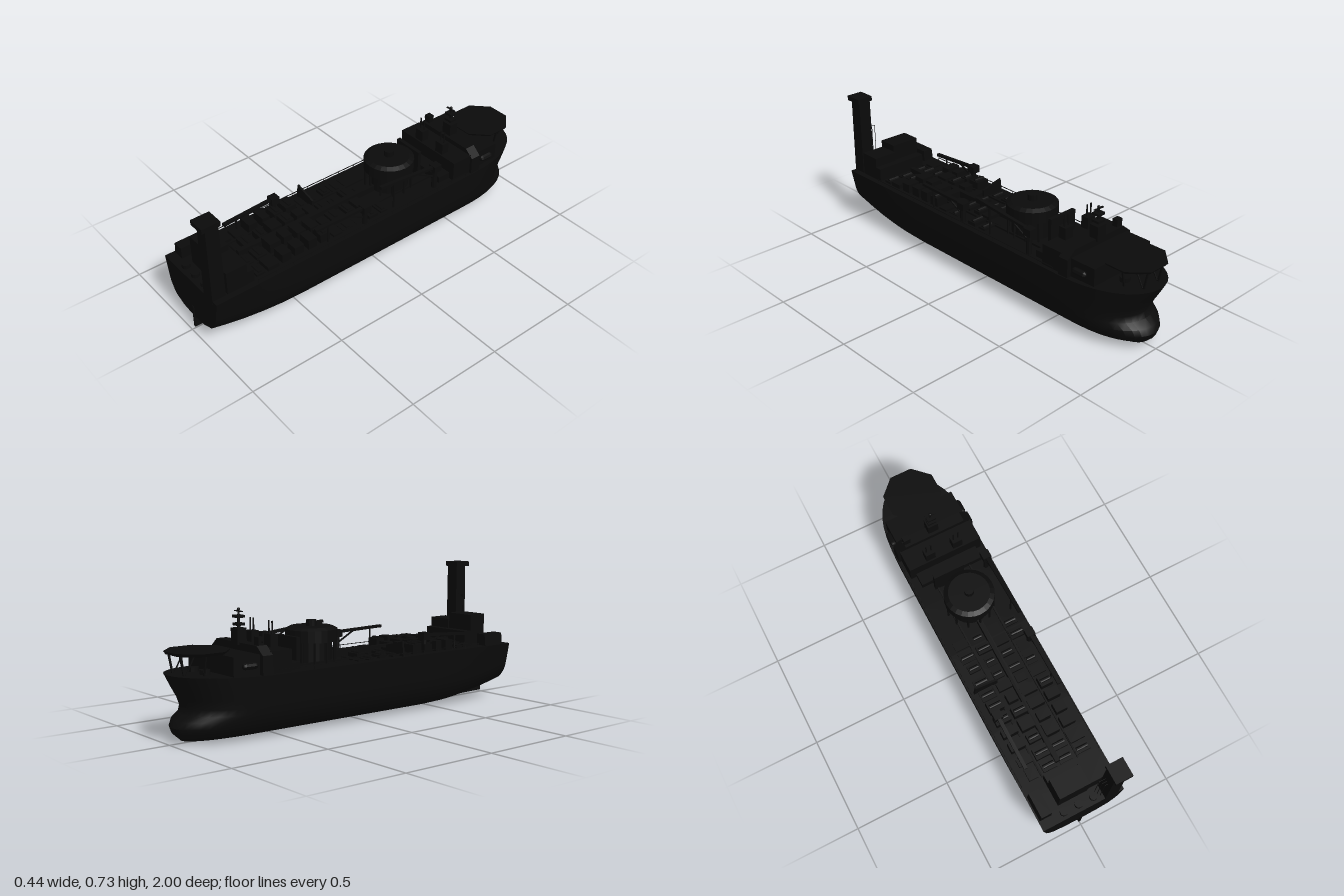
import * as THREE from 'three';
import { toCreasedNormals } from 'three/addons/utils/BufferGeometryUtils.js';

const dark = new THREE.MeshStandardMaterial({ color: 0x0b0b0b, side: THREE.DoubleSide });
const flat = new THREE.MeshStandardMaterial({ color: 0x0b0b0b, flatShading: true });

function add(parent, name, geo, x = 0, y = 0, z = 0, mat = flat) {
  const m = new THREE.Mesh(geo, mat);
  m.name = name;
  m.position.set(x, y, z);
  parent.add(m);
  return m;
}
// box given by its extents
function box(parent, name, x0, x1, y0, y1, z0, z1) {
  return add(parent, name, new THREE.BoxGeometry(x1 - x0, y1 - y0, z1 - z0),
    (x0 + x1) / 2, (y0 + y1) / 2, (z0 + z1) / 2);
}
function post(parent, name, x, y0, y1, z, r, r2 = r, sides = 8) {
  return add(parent, name, new THREE.CylinderGeometry(r2, r, y1 - y0, sides), x, (y0 + y1) / 2, z);
}
// square bar between two points
function beam(parent, name, a, b, w, h = w) {
  const p = new THREE.Vector3(...a), q = new THREE.Vector3(...b);
  const m = add(parent, name, new THREE.BoxGeometry(w, h, p.distanceTo(q)));
  m.position.copy(p).lerp(q, 0.5);
  m.lookAt(q);
  return m;
}
// outline in x,y pushed along z
function prism(parent, name, pts, z0, z1) {
  const s = new THREE.Shape(pts.map(p => new THREE.Vector2(...p)));
  return add(parent, name, new THREE.ExtrudeGeometry(s, { depth: z1 - z0, bevelEnabled: false }), 0, 0, z0);
}

// Hull lofted from transom to raked stem with a bulb: [height, half width, stem z]
function hullGeometry() {
  const levels = [[0.30, 0.22, -1], [0.25, 0.216, -0.965], [0.20, 0.211, -0.935], [0.16, 0.207, -0.92],
    [0.13, 0.203, -0.93], [0.105, 0.196, -0.97], [0.075, 0.183, -0.985], [0.045, 0.163, -0.975],
    [0.012, 0.095, -0.94], [0, 0, -0.88]];
  const body = [0.98, 0.9, 0.8, 0.7, 0.6, 0.45, 0, -0.3];
  const bow = [0, 0.2, 0.35, 0.5, 0.62, 0.72, 0.82, 0.9, 0.95, 0.985, 1];
  const ring = [...levels.map(l => [...l, 1]), ...levels.slice(0, -1).reverse().map(l => [...l, -1])];
  const pos = [], idx = [], n = ring.length;
  for (const z of body) {
    const u = Math.max(0, (z - 0.45) / 0.53) ** 2;
    for (const [y, w, , side] of ring) {
      const low = 1 - y / 0.3;
      pos.push(side * w * (1 - 0.08 * u * low), y + 0.075 * u * low, z);
    }
  }
  for (const t of bow) {
    const f = Math.sqrt(Math.max(0, 1 - t ** 2.5));
    for (const [y, w, stem, side] of ring)
      pos.push(side * w * f, y + (y === 0.3 ? 0.014 * t : 0), THREE.MathUtils.lerp(-0.6, stem, t));
  }
  const rows = body.length + bow.length;
  for (let s = 0; s < rows - 1; s++) for (let r = 0; r < n; r++) {
    const a = s * n + r, b = s * n + (r + 1) % n;
    idx.push(a, b, a + n, b, b + n, a + n);
  }
  for (let r = 1; r < n - 1; r++) idx.push(0, r + 1, r);
  const g = new THREE.BufferGeometry();
  g.setAttribute('position', new THREE.Float32BufferAttribute(pos, 3));
  g.setIndex(idx);
  return toCreasedNormals(g, 0.7);
}

// Pedestal crane with its boom lying along +z
function crane(parent, name, x, z, top, tipY, tipZ) {
  const g = new THREE.Group();
  g.name = name;
  parent.add(g);
  post(g, 'cranePedestal', x, 0.29, top - 0.01, z, 0.014);
  box(g, 'craneCab', x - 0.022, x + 0.022, top - 0.025, top + 0.012, z - 0.025, z + 0.02);
  beam(g, 'craneBoom', [x, top, z], [x, tipY, tipZ], 0.018, 0.014);
  beam(g, 'craneRam', [x, top - 0.06, z], [x, (top + tipY) / 2, z + (tipZ - z) * 0.4], 0.007);
  post(g, 'boomRest', x, 0.29, tipY - 0.004, tipZ - (tipZ - z) * 0.25, 0.005);
}

export function createModel() {
  const ship = new THREE.Group();
  ship.name = 'ship';
  add(ship, 'hull', hullGeometry(), 0, 0, 0, dark);

  // skeg under the stern
  const skeg = prism(ship, 'skeg', [[-0.985, 0.012], [-0.6, 0.005], [-0.8, 0.1], [-0.985, 0.14]], 0, 0.012);
  skeg.rotation.y = Math.PI / 2;
  skeg.position.x = -0.006;

  // flare tower on the stern corner, with ladder frame
  const tower = post(ship, 'flareTower', 0.153, 0.28, 0.71, 0.945, 0.0505, 0.048, 4);
  tower.geometry.rotateY(Math.PI / 4);
  box(ship, 'towerCap', 0.109, 0.197, 0.7, 0.725, 0.905, 1);
  [[0.083, 0.545], [0.093, 0.535], [0.103, 0.527]].forEach(([x, y], i) => {
    const z = 0.93 + i * 0.012;
    beam(ship, 'towerPipe', [x, 0.29, z], [x, y, z], 0.002);
    beam(ship, 'towerPipe', [x, y, z], [0.13, y, z], 0.002);
  });

  // stern houses
  box(ship, 'sternHouse', -0.1, 0.06, 0.29, 0.455, 0.8, 0.905);
  box(ship, 'sternHouseSide', 0.06, 0.19, 0.29, 0.42, 0.79, 0.9);
  box(ship, 'sternHouseStep', -0.1, 0.19, 0.29, 0.37, 0.755, 0.8);
  prism(ship, 'sternLocker', [[-0.213, 0.29], [-0.15, 0.29], [-0.15, 0.36], [-0.205, 0.36]], 0.8, 0.93);
  for (let i = 0; i < 3; i++) post(ship, 'winch', -0.09 + i * 0.08, 0.29, 0.32, 0.945, 0.02, 0.02, 12);

  // plant modules in rows along the deck
  let seed = 7;
  const rnd = () => (seed = (seed * 16807) % 2147483647) / 2147483647;
  const rows = [[0.71, 0.32], [0.64, 0.33], [0.56, 0.355], [0.485, 0.36], [0.41, 0.36], [0.335, 0.35],
    [0.26, 0.325], [0.19, 0.315], [0.11, 0.32], [0.04, 0.325], [-0.03, 0.32]];
  for (const [z, top] of rows) {
    for (let i = 0; i < 4; i++) {
      const x = -0.14 + i * 0.093, w = 0.025 + rnd() * 0.016, d = 0.02 + rnd() * 0.012;
      const y = top - rnd() * 0.02;
      box(ship, 'deckModule', x - w, x + w, 0.29, y, z - d, z + d);
      if (rnd() > 0.5) {
        const tank = add(ship, 'tank', new THREE.CylinderGeometry(0.01, 0.01, w * 1.6, 10), x, y, z);
        tank.rotation.z = Math.PI / 2;
      }
    }
  }
  box(ship, 'pipeRack', -0.012, 0.012, 0.29, 0.335, -0.1, 0.72);
  for (const s of [-1, 1]) {
    box(ship, 'deckPipe', s * 0.1 - 0.004, s * 0.1 + 0.004, 0.3, 0.31, -0.45, 0.75);
    beam(ship, 'sideRail', [s * 0.212, 0.318, -0.55], [s * 0.212, 0.318, 0.75], 0.003);
    for (let z = -0.55; z < 0.76; z += 0.1) post(ship, 'railPost', s * 0.212, 0.29, 0.318, z, 0.0015, 0.0015, 4);
  }
  prism(ship, 'slopedWall', [[-0.2, 0.29], [-0.07, 0.29], [-0.07, 0.345], [-0.19, 0.375]], 0.22, 0.23);

  // mooring turret
  const tz = -0.205;
  post(ship, 'turretBase', 0, 0.28, 0.41, tz, 0.1, 0.1, 24);
  post(ship, 'turretDrum', 0, 0.4, 0.458, tz, 0.128, 0.128, 24);
  post(ship, 'turretRoof', 0, 0.458, 0.47, tz, 0.128, 0.105, 24);
  post(ship, 'turretHub', 0, 0.465, 0.5, tz, 0.025, 0.025, 12);
  for (let i = 0; i < 12; i++) {
    const a = i * Math.PI / 6;
    post(ship, 'turretColumn', Math.sin(a) * 0.12, 0.29, 0.41, tz + Math.cos(a) * 0.12, 0.006, 0.006, 6);
  }
  box(ship, 'turretGantry', -0.115, 0.05, 0.29, 0.44, -0.38, -0.36);

  crane(ship, 'forwardCrane', 0.175, -0.36, 0.425, 0.46, 0);
  crane(ship, 'midCrane', 0.18, 0.1, 0.395, 0.402, 0.4);
  crane(ship, 'aftCrane', -0.16, 0.4, 0.39, 0.372, 0.69);

  // engine casing with exhaust pipes
  box(ship, 'utilityBlock', -0.17, 0.17, 0.29, 0.335, -0.47, -0.4);
  box(ship, 'engineCasing', -0.2, 0.2, 0.29, 0.405, -0.59, -0.47);
  for (const s of [-1, 1]) {
    box(ship, 'funnel', s * 0.076 - 0.026, s * 0.076 + 0.026, 0.39, 0.465, -0.52, -0.478);
    for (const x of [0.063, 0.089]) post(ship, 'exhaustPipe', s * x, 0.45, 0.525, -0.5, 0.004);
  }

  // bow accommodation with chamfered top
  prism(ship, 'deckhouse', [[-0.215, 0.29], [0.215, 0.29], [0.213, 0.39], [0.165, 0.43], [-0.165, 0.43],
    [-0.213, 0.39]], -0.64, -0.585);
  box(ship, 'bridge', -0.19, 0.19, 0.29, 0.395, -0.78, -0.64);
  box(ship, 'liferaftHouse', -0.165, -0.13, 0.42, 0.468, -0.63, -0.6);
  beam(ship, 'davitArm', [-0.175, 0.445, -0.61], [-0.13, 0.445, -0.61], 0.006);
  for (const s of [-1, 1]) {
    const boat = add(ship, 'lifeboat', new THREE.CapsuleGeometry(0.016, 0.05, 4, 8), s * 0.2, 0.35, -0.7);
    boat.rotation.x = Math.PI / 2;
  }

  // radar mast
  const mz = -0.625;
  box(ship, 'mastHouse', -0.028, 0.028, 0.42, 0.495, mz - 0.025, mz + 0.025);
  post(ship, 'mast', 0, 0.49, 0.58, mz, 0.007, 0.005);
  for (const y of [0.512, 0.548]) box(ship, 'mastPlatform', -0.022, 0.022, y - 0.006, y + 0.006, mz - 0.02, mz + 0.02);
  box(ship, 'radarBar', -0.029, 0.029, 0.57, 0.574, mz - 0.005, mz + 0.005);
  add(ship, 'mastDome', new THREE.SphereGeometry(0.008, 10, 8), 0, 0.58, mz);

  // octagonal helideck on struts above the bow
  const heli = post(ship, 'helideck', 0, 0.4, 0.415, -0.848, 0.14, 0.152, 8);
  heli.geometry.rotateY(Math.PI / 8);
  for (const s of [-1, 1]) {
    beam(ship, 'helideckStrut', [s * 0.05, 0.3, -0.945], [s * 0.05, 0.402, -0.965], 0.008);
    beam(ship, 'helideckStrut', [s * 0.09, 0.3, -0.87], [s * 0.11, 0.402, -0.87], 0.008);
    beam(ship, 'helideckBrace', [s * 0.05, 0.31, -0.94], [s * 0.05, 0.402, -0.89], 0.005);
  }
  for (const s of [-1, 1]) post(ship, 'anchorWinch', s * 0.05, 0.3, 0.33, -0.84, 0.025, 0.025, 10);
  return ship;
}
